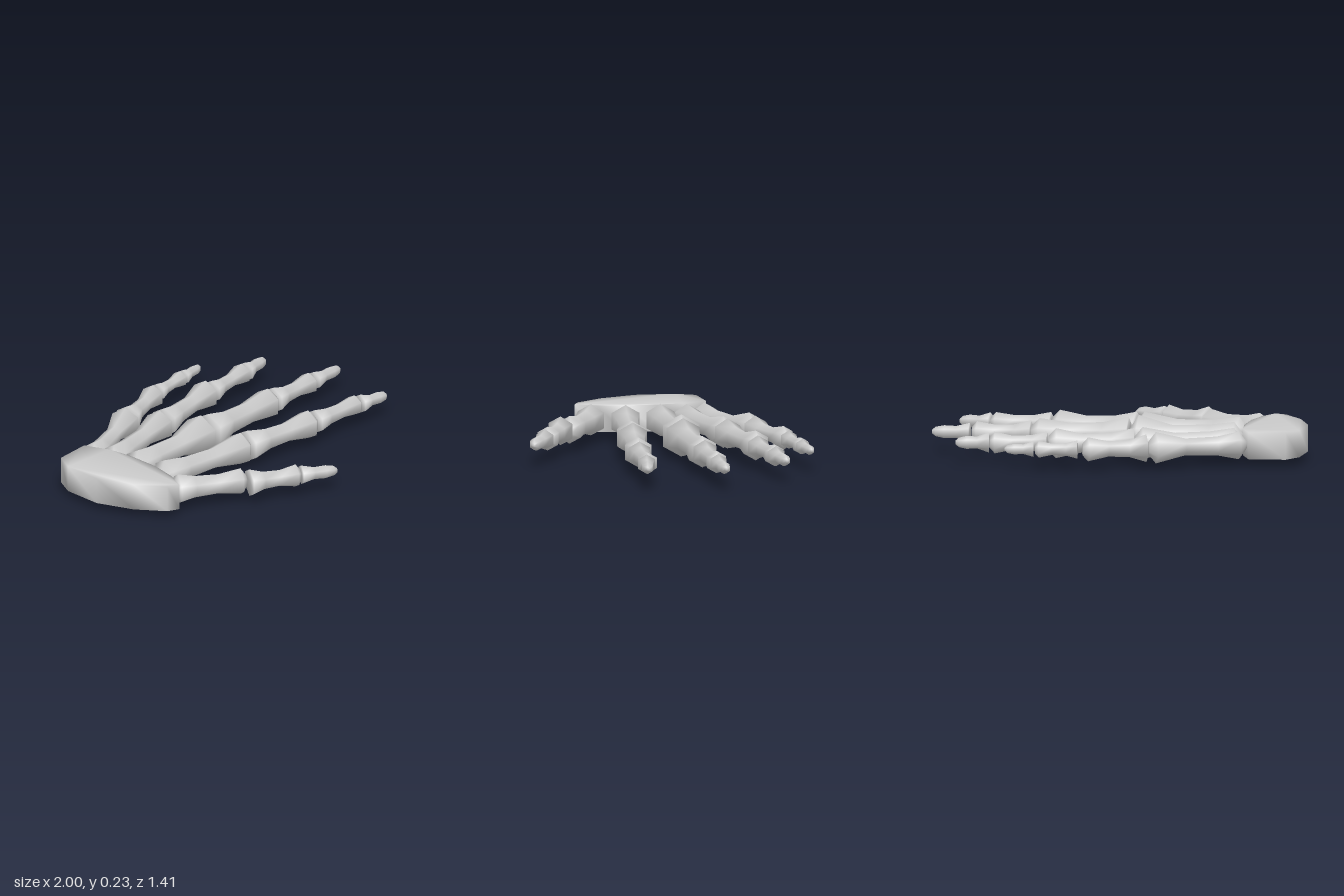
import * as THREE from 'three';
import { mergeVertices } from 'three/addons/utils/BufferGeometryUtils.js';

const MID_Y = 0.115;
const material = new THREE.MeshStandardMaterial({ color: 0xcccccc });

// Weld a geometry and average its normals so it shades softly
function soften(geometry) {
  geometry.deleteAttribute('normal');
  geometry.deleteAttribute('uv');
  const welded = mergeVertices(geometry, 1e-4);
  welded.computeVertexNormals();
  return welded;
}

// Bone profiles: [fraction of length, radius as a blend of base / shaft / head]
const profiles = {
  // knobbly at both ends
  metacarpal: (b, s, h) => [[0, 0], [0.005, b * 0.3], [0.08, b], [0.3, s * 1.12], [0.62, s], [0.92, h], [0.995, h * 0.4], [1, 0]],
  // flat base, domed head
  phalanx: (b, s, h) => [[0.04, 0], [0.02, b], [0.28, s * 1.12], [0.6, s], [0.91, h], [0.995, h * 0.5], [1, 0]],
  // flat base, rounded tip
  fingertip: (b, s) => [[0.05, 0], [0.04, b], [0.38, s], [0.68, s * 1.08], [0.9, s * 0.8], [0.99, s * 0.35], [1, 0]],
};

// Six-sided bone lying between two points [x, z]; radii are [base, shaft, head]
function bone(name, kind, from, to, radii) {
  const start = new THREE.Vector3(from[0], MID_Y, from[1]);
  const dir = new THREE.Vector3(to[0], MID_Y, to[1]).sub(start);
  const length = dir.length();
  dir.normalize();
  const points = profiles[kind](...radii).map(([t, r]) => new THREE.Vector2(r, t * length));
  const mesh = new THREE.Mesh(soften(new THREE.LatheGeometry(points, 6)), material);
  const up = new THREE.Vector3(0, 1, 0);
  const side = new THREE.Vector3().crossVectors(dir, up);
  mesh.quaternion.setFromRotationMatrix(new THREE.Matrix4().makeBasis(side, dir, up));
  mesh.position.copy(start);
  mesh.name = name;
  return mesh;
}

// Each finger: bones as [x0, z0, x1, z1, base, shaft, head]
const fingers = {
  littleFinger: [
    [-0.70, -0.42, -0.19, -0.57, 0.074, 0.045, 0.084],
    [-0.19, -0.575, 0.15, -0.655, 0.074, 0.041, 0.064],
    [0.17, -0.66, 0.40, -0.67, 0.049, 0.03, 0.045],
    [0.40, -0.67, 0.56, -0.68, 0.041, 0.026],
  ],
  ringFinger: [
    [-0.67, -0.32, -0.10, -0.40, 0.077, 0.053, 0.085],
    [-0.11, -0.40, 0.35, -0.447, 0.08, 0.049, 0.08],
    [0.35, -0.44, 0.66, -0.455, 0.062, 0.037, 0.058],
    [0.655, -0.453, 0.84, -0.465, 0.054, 0.032],
  ],
  middleFinger: [
    [-0.66, -0.18, -0.055, -0.147, 0.086, 0.062, 0.113],
    [-0.06, -0.145, 0.473, -0.115, 0.102, 0.062, 0.084],
    [0.465, -0.118, 0.787, -0.10, 0.072, 0.043, 0.06],
    [0.79, -0.10, 1.0, -0.088, 0.05, 0.032],
  ],
  indexFinger: [
    [-0.67, 0.0, -0.06, 0.13, 0.086, 0.058, 0.09],
    [-0.075, 0.125, 0.39, 0.222, 0.088, 0.055, 0.08],
    [0.39, 0.22, 0.72, 0.26, 0.066, 0.043, 0.056],
    [0.715, 0.27, 0.89, 0.312, 0.052, 0.032],
  ],
  thumb: [
    [-0.74, 0.155, -0.405, 0.39, 0.084, 0.056, 0.074],
    [-0.425, 0.42, -0.175, 0.57, 0.077, 0.046, 0.064],
    [-0.18, 0.572, -0.01, 0.69, 0.054, 0.035],
  ],
};

export function createModel() {
  const hand = new THREE.Group();
  hand.name = 'skeletonHand';

  // Wrist block: outline in [x, z], extruded upwards
  const outline = [
    [-0.91, -0.457], [-0.713, -0.457], [-0.67, -0.32], [-0.665, -0.19], [-0.685, 0.0],
    [-0.73, 0.14], [-0.79, 0.243], [-0.85, 0.21], [-0.942, 0.056], [-1.0, -0.147], [-0.974, -0.36],
  ];
  const shape = new THREE.Shape(outline.map(([x, z]) => new THREE.Vector2(x, -z)));
  const block = new THREE.ExtrudeGeometry(shape, { depth: 0.142, bevelEnabled: false });
  block.rotateX(-Math.PI / 2);
  const wrist = new THREE.Mesh(soften(block), material);
  wrist.position.y = 0.045;
  wrist.name = 'wristBlock';
  hand.add(wrist);

  // Fingers, from the wrist outwards
  for (const [name, bones] of Object.entries(fingers)) {
    const finger = new THREE.Group();
    finger.name = name;
    bones.forEach(([x0, z0, x1, z1, ...radii], i) => {
      const kind = i === 0 ? 'metacarpal' : i === bones.length - 1 ? 'fingertip' : 'phalanx';
      finger.add(bone(`${name}Bone${i + 1}`, kind, [x0, z0], [x1, z1], radii));
    });
    hand.add(finger);
  }
  return hand;
}
